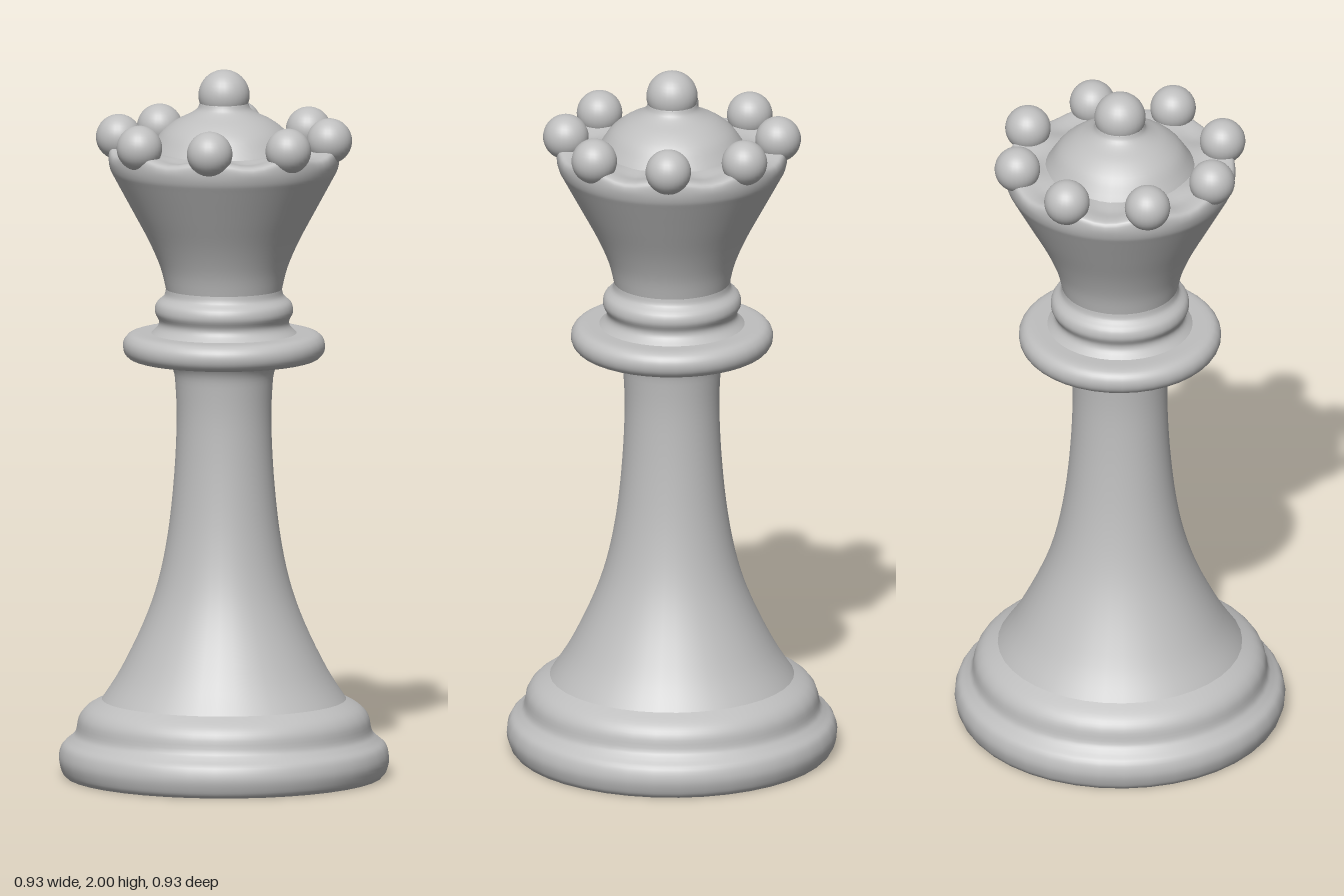
import * as THREE from 'three';
import { mergeVertices } from 'three/addons/utils/BufferGeometryUtils.js';

const ivory = new THREE.MeshStandardMaterial({ color: 0xbfbfbf, side: THREE.DoubleSide });
ivory.name = 'plain grey';

const v = ([x, y]) => new THREE.Vector2(x, y);

// Turned part: a smooth curve through the points, spun about y
function turned(name, points, steps, segments = 40) {
  const profile = new THREE.SplineCurve(points.map(v)).getPoints(steps);
  profile.forEach(p => { p.x = Math.max(p.x, 0); });
  const mesh = new THREE.Mesh(new THREE.LatheGeometry(profile, segments), ivory);
  mesh.name = name;
  return mesh;
}

function ball(name, radius, x, y, z) {
  const mesh = new THREE.Mesh(new THREE.SphereGeometry(radius, 28, 20), ivory);
  mesh.name = name;
  mesh.position.set(x, y, z);
  return mesh;
}

export function createModel() {
  const piece = new THREE.Group();
  piece.name = 'chessQueen';

  // Hollow base, open underneath
  piece.add(turned('base', [
    [0.445, 0], [0.456, 0.015], [0.464, 0.05], [0.455, 0.085], [0.432, 0.106],
    [0.416, 0.125], [0.407, 0.165], [0.385, 0.193], [0.343, 0.217],
  ], 32));

  // Flaring stem
  piece.add(turned('stem', [
    [0.343, 0.217], [0.29, 0.3], [0.227, 0.43], [0.185, 0.55], [0.157, 0.69],
    [0.14, 0.85], [0.133, 1.0], [0.136, 1.1], [0.143, 1.15], [0.165, 1.185],
  ], 36));

  // Collar disc with a rounded edge
  piece.add(turned('collar', [
    [0.14, 1.18], [0.2, 1.18], [0.255, 1.181], [0.277, 1.195], [0.284, 1.218],
    [0.277, 1.24], [0.255, 1.254], [0.2, 1.255], [0.14, 1.255],
  ], 32));

  // Neck ring beneath the crown
  piece.add(turned('neckRing', [
    [0.205, 1.254], [0.187, 1.272], [0.183, 1.29], [0.194, 1.315],
    [0.189, 1.34], [0.168, 1.36], [0.163, 1.38],
  ], 24));

  // Crown cup, its rim rising gently towards each pearl
  const crown = turned('crown', [
    [0.163, 1.38], [0.178, 1.44], [0.21, 1.515], [0.258, 1.605], [0.304, 1.69],
    [0.319, 1.72], [0.324, 1.75], [0.318, 1.773], [0.295, 1.778],
    [0.25, 1.774], [0.19, 1.774],
  ], 40, 64);
  crown.geometry.deleteAttribute('uv');
  crown.geometry.deleteAttribute('normal');
  crown.geometry = mergeVertices(crown.geometry, 1e-4);
  const pos = crown.geometry.attributes.position;
  for (let i = 0; i < pos.count; i++) {
    const x = pos.getX(i), y = pos.getY(i), z = pos.getZ(i);
    const weight = THREE.MathUtils.smoothstep(y, 1.73, 1.775)
      * THREE.MathUtils.smoothstep(Math.hypot(x, z), 0.19, 0.26);
    pos.setY(i, y - 0.009 * weight * Math.cos(8 * Math.atan2(x, z)));
  }
  crown.geometry.computeVertexNormals();
  piece.add(crown);

  // Dome and finial
  piece.add(turned('dome', [
    [0.212, 1.768], [0.198, 1.79], [0.172, 1.827], [0.135, 1.856],
    [0.095, 1.876], [0.074, 1.892], [0.066, 1.912], [0.05, 1.93],
  ], 24));
  piece.add(ball('finial', 0.072, 0, 1.928, 0));

  // Ring of eight pearls on the rim
  const pearls = new THREE.Group();
  pearls.name = 'pearls';
  for (let i = 0; i < 8; i++) {
    const a = (i + 0.5) * Math.PI / 4;
    pearls.add(ball('pearl', 0.064, 0.298 * Math.sin(a), 1.804, 0.298 * Math.cos(a)));
  }
  piece.add(pearls);

  return piece;
}
